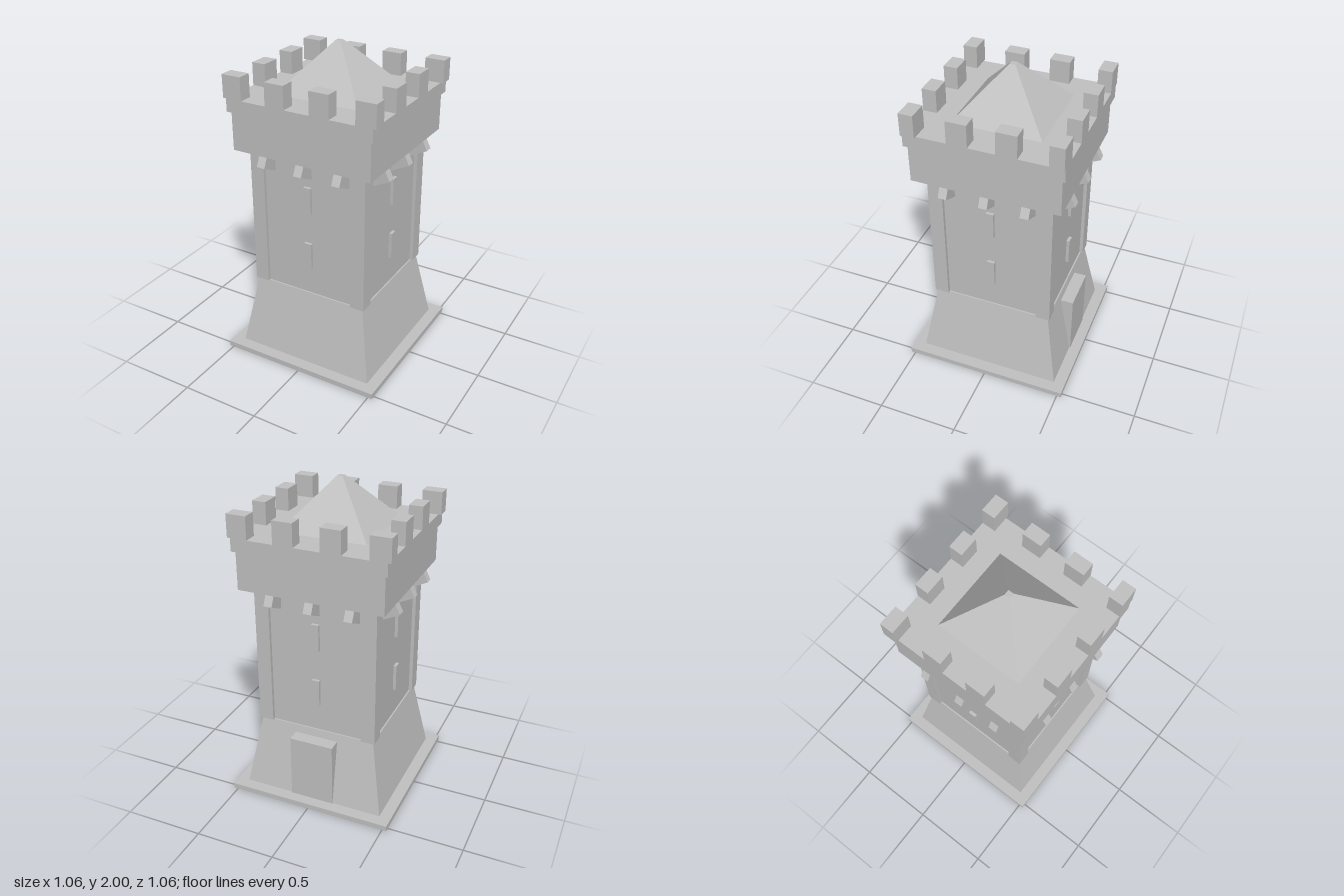
import * as THREE from 'three';

const stone = new THREE.MeshStandardMaterial({ color: 0xc2c2c2, flatShading: true });
stone.name = 'stone';

function add(parent, name, geometry, x = 0, y = 0, z = 0) {
  const mesh = new THREE.Mesh(geometry, stone);
  mesh.name = name;
  mesh.position.set(x, y, z);
  parent.add(mesh);
  return mesh;
}

// Box spanning y0..y1, centred on x and z
function block(parent, name, w, d, y0, y1, x = 0, z = 0) {
  return add(parent, name, new THREE.BoxGeometry(w, y1 - y0, d), x, (y0 + y1) / 2, z);
}

// Square frustum given by its half widths
function frustum(parent, name, bottom, top, y0, y1) {
  const g = new THREE.CylinderGeometry(top * Math.SQRT2, bottom * Math.SQRT2, y1 - y0, 4);
  g.rotateY(Math.PI / 4);
  return add(parent, name, g, 0, (y0 + y1) / 2, 0);
}

export function createModel() {
  const tower = new THREE.Group();
  tower.name = 'tower';

  // Foundation, sloped base and shaft
  block(tower, 'plinth', 1.056, 1.056, 0, 0.035);
  frustum(tower, 'slopedBase', 0.455, 0.372, 0.035, 0.5);
  block(tower, 'shaft', 0.726, 0.726, 0.5, 1.39);
  for (const x of [-1, 1]) for (const z of [-1, 1]) {
    block(tower, 'cornerPilaster', 0.09, 0.09, 0.5, 1.39, x * 0.34, z * 0.34);
  }

  // Back door
  block(tower, 'door', 0.28, 0.1, 0.035, 0.45, 0, -0.411);

  // Overhanging gallery, parapet and roof
  block(tower, 'gallery', 0.904, 0.904, 1.39, 1.63);
  block(tower, 'parapet', 0.942, 0.942, 1.63, 1.71);
  frustum(tower, 'roof', 0.273, 0.017, 1.71, 2);

  // Slits and tilted corbels on each of the four sides
  for (let i = 0; i < 4; i++) {
    const side = new THREE.Group();
    side.name = 'sideDetails';
    side.rotation.y = i * Math.PI / 2;
    tower.add(side);
    for (const y of [0.68, 1.05]) block(side, 'windowSlit', 0.048, 0.04, y, y + 0.17, 0, 0.362);
    for (const x of [-0.248, 0, 0.248]) {
      const corbel = add(side, 'corbel', new THREE.BoxGeometry(0.052, 0.1, 0.16), x, 1.34, 0.384);
      corbel.rotation.x = -0.45;
    }
  }

  // Battlements: four along front and back, two between them on each flank
  for (const s of [-1, 1]) {
    for (const x of [-0.428, -0.143, 0.143, 0.428]) {
      block(tower, 'merlon', 0.124, 0.086, 1.71, 1.85, x, s * 0.428);
    }
    for (const z of [-0.143, 0.143]) {
      block(tower, 'merlon', 0.086, 0.124, 1.71, 1.85, s * 0.428, z);
    }
  }
  return tower;
}
